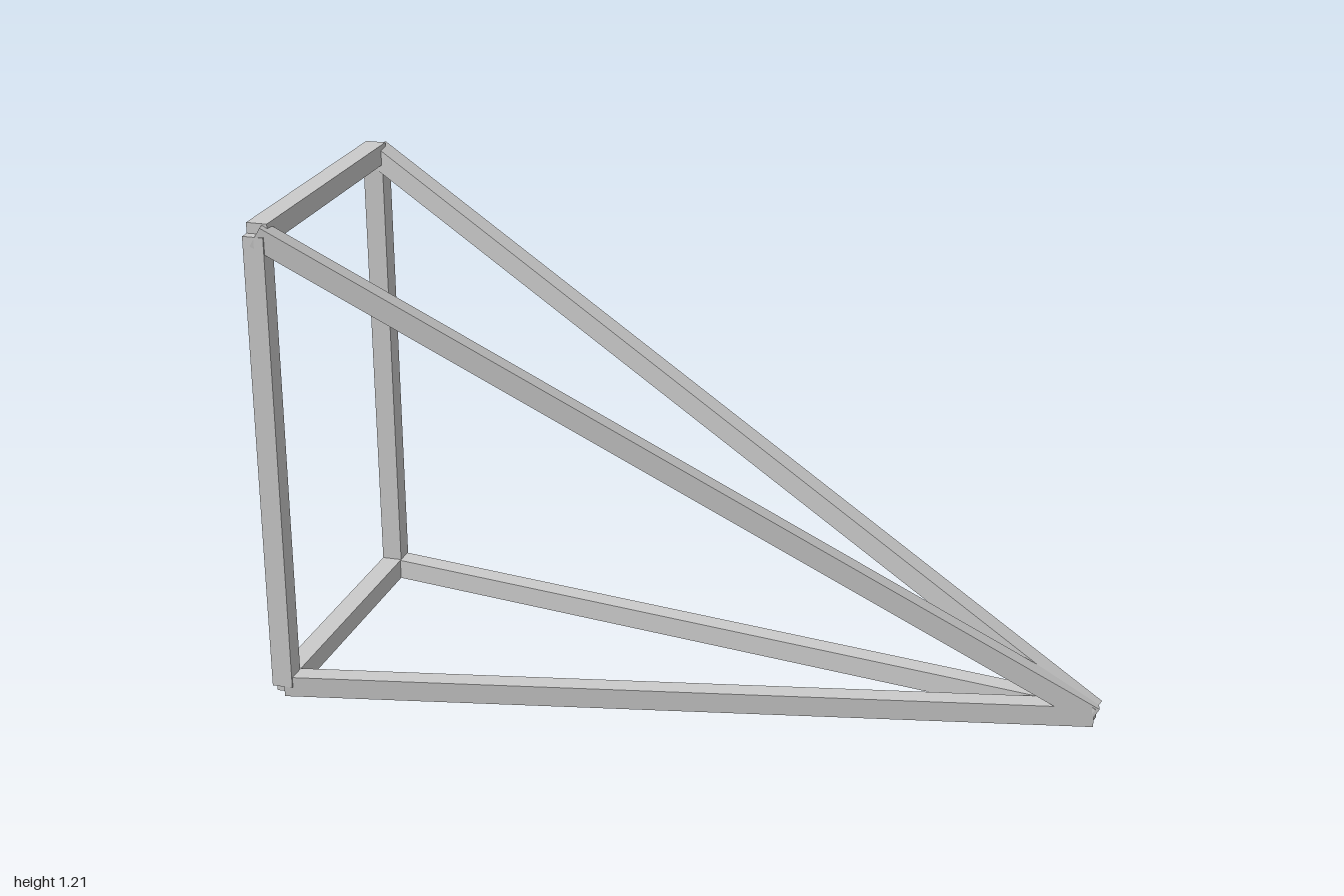
import * as THREE from 'three';

const T = 0.052; // beam thickness
const material = new THREE.MeshStandardMaterial({ color: 0xcccccc, flatShading: true });

// Square beam running between the centres of two joints
function beam(name, a, b) {
  const mesh = new THREE.Mesh(new THREE.BoxGeometry(T, T, a.distanceTo(b)), material);
  mesh.name = name;
  mesh.position.copy(a).lerp(b, 0.5);
  mesh.lookAt(b);
  return mesh;
}

export function createModel() {
  const group = new THREE.Group();
  group.name = 'wedgeFrame';

  const backX = -0.974, low = 0.027, high = 1.19, halfWidth = 0.368;
  const joint = (y, side) => new THREE.Vector3(backX, y, side * halfWidth);
  const apex = new THREE.Vector3(0.981, low, 0);

  // Crossbars of the upright rectangle
  group.add(beam('bottomCrossbar', joint(low, -1), joint(low, 1)));
  group.add(beam('topCrossbar', joint(high, -1), joint(high, 1)));

  // Mirrored posts, base rails and sloping rails
  for (const side of [1, -1]) {
    const end = side > 0 ? 'Front' : 'Back';
    group.add(beam('post' + end, joint(low, side), joint(high, side)));
    group.add(beam('baseRail' + end, joint(low, side), apex));
    group.add(beam('slopingRail' + end, joint(high, side), apex));
  }
  return group;
}
